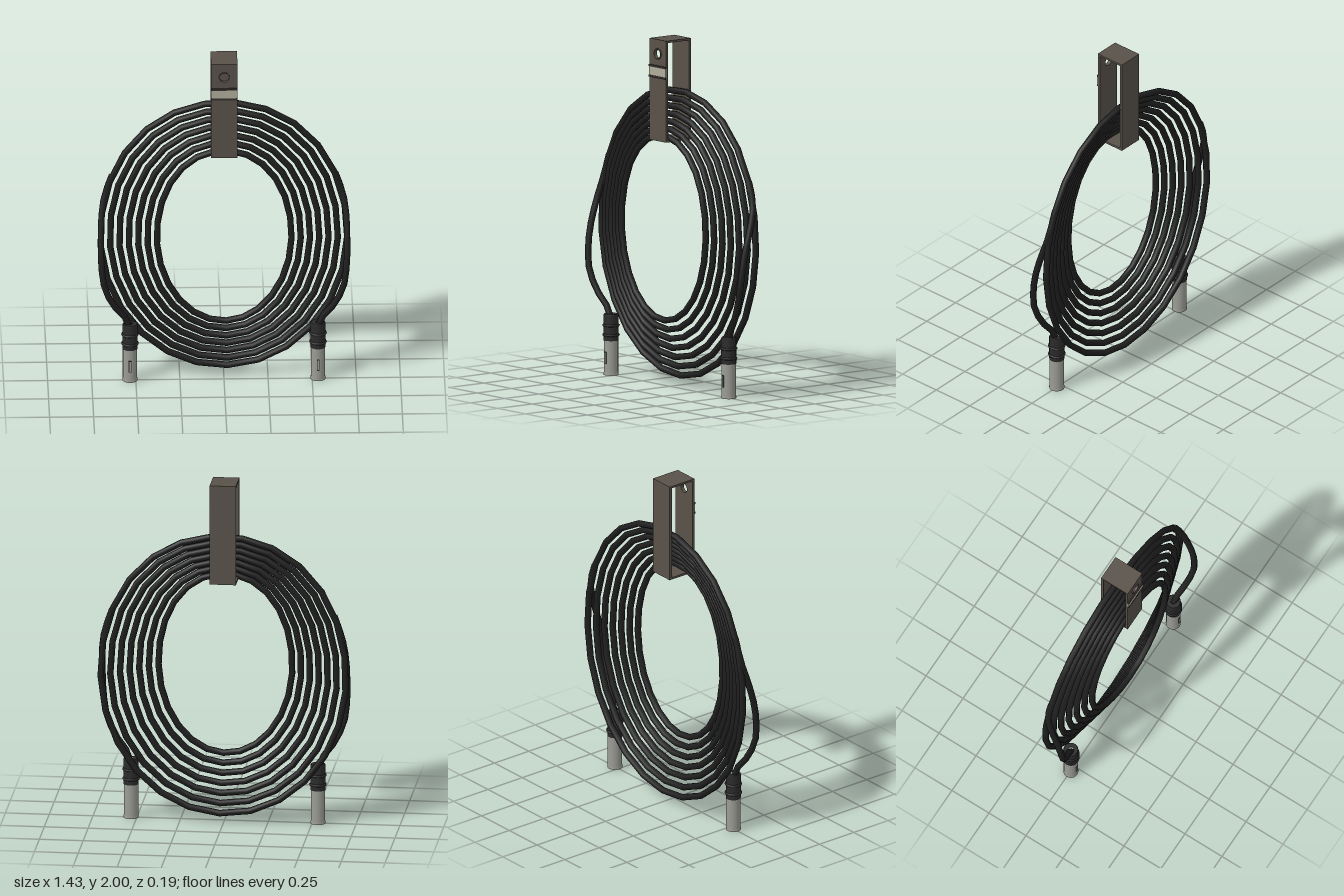
import * as THREE from 'three';

const mat = (color, side = THREE.FrontSide) => new THREE.MeshStandardMaterial({ color, side });
const rubber = mat(0x1f1f1f);
const bootMat = mat(0x2b2b2b);
const metal = mat(0x9c9c96);
const openMetal = mat(0x9c9c96, THREE.DoubleSide);
const strapMat = mat(0x59524a);
const darkStrap = mat(0x34302c);
const buckleMat = mat(0xb0ad9c);

const CABLE = 0.0185;
const LOOPS = 7;

function add(parent, name, geometry, material, x = 0, y = 0, z = 0) {
  const mesh = new THREE.Mesh(geometry, material);
  mesh.name = name;
  mesh.position.set(x, y, z);
  parent.add(mesh);
  return mesh;
}

// Upright ellipse sampled at equal angles from the bottom, slightly fuller at its shoulders
class LoopCurve extends THREE.Curve {
  constructor(a, b, cy, z) {
    super();
    Object.assign(this, { a, b, cy, z });
  }
  getUtoTmapping(u) { return u; }
  getPoint(t, target = new THREE.Vector3()) {
    const w = t * Math.PI * 2 + 0.03;
    const full = Math.cos(w) < 0 ? 1 + 0.015 * Math.sin(2 * w) ** 2 : 1;
    return target.set(this.a * full * Math.sin(w), this.cy - this.b * full * Math.cos(w), this.z);
  }
}

// Stacked loops, larger towards the back
function makeCoil() {
  const coil = new THREE.Group();
  coil.name = 'cableCoil';
  for (let i = 0; i < LOOPS; i++) {
    const k = i / (LOOPS - 1);
    const curve = new LoopCurve(
      THREE.MathUtils.lerp(0.7, 0.382, k),
      THREE.MathUtils.lerp(0.818, 0.53, k),
      THREE.MathUtils.lerp(0.876, 0.914, k),
      THREE.MathUtils.lerp(-0.064, 0.045, k));
    add(coil, 'cableLoop', new THREE.TubeGeometry(curve, 25, CABLE, 10, true), rubber);
  }
  return coil;
}

// Loose cable end peeling off the outer loop on one side
function makeTail(side) {
  const pts = [
    [0.632, 1.25, -0.066], [0.676, 1.12, -0.062], [0.694, 1, -0.03], [0.698, 0.86, 0.012],
    [0.695, 0.72, 0.036], [0.677, 0.59, 0.042], [0.622, 0.47, 0.026], [0.56, 0.39, 0.007],
    [0.533, 0.32, 0],
  ].map(([x, y, z]) => new THREE.Vector3(side * x, y, z));
  const geo = new THREE.TubeGeometry(new THREE.CatmullRomCurve3(pts), 12, CABLE, 10);
  const tail = new THREE.Mesh(geo, rubber);
  tail.name = 'cableEnd';
  return tail;
}

function lathe(points) {
  return new THREE.LatheGeometry(points.map(([r, y]) => new THREE.Vector2(r, y)), 20);
}

// Plug: metal barrel with recessed pins, ribbed rubber boot
function makePlug(side) {
  const plug = new THREE.Group();
  plug.name = side > 0 ? 'leftPlug' : 'rightPlug';
  plug.position.set(side * 0.533, 0, 0);

  const barrel = lathe([[0.036, 0.03], [0.036, 0], [0.036, 0], [0.043, 0], [0.043, 0],
    [0.043, 0.012], [0.041, 0.014], [0.041, 0.2], [0.041, 0.2], [0.03, 0.2]]);
  add(plug, 'barrel', barrel, openMetal);
  add(plug, 'socketFloor', new THREE.CylinderGeometry(0.037, 0.037, 0.01, 20), bootMat, 0, 0.02, 0);
  for (let i = 0; i < 3; i++) {
    const w = i * Math.PI * 2 / 3;
    add(plug, 'pin', new THREE.CylinderGeometry(0.005, 0.005, 0.014, 8), metal,
      0.017 * Math.sin(w), 0.01, 0.017 * Math.cos(w));
  }
  add(plug, 'latch', new THREE.BoxGeometry(0.016, 0.07, 0.008), bootMat, 0, 0.1, 0.039);
  add(plug, 'latchKey', new THREE.BoxGeometry(0.01, 0.062, 0.008), metal, 0, 0.1, 0.0405);

  const boot = lathe([[0.02, 0.198], [0.043, 0.198], [0.043, 0.198], [0.043, 0.345],
    [0.04, 0.35], [0.04, 0.35], [0.015, 0.35]]);
  add(plug, 'boot', boot, bootMat);
  for (const y of [0.23, 0.285]) {
    const rib = add(plug, 'bootRib', new THREE.TorusGeometry(0.043, 0.007, 8, 20), bootMat, 0, y, 0);
    rib.rotation.x = Math.PI / 2;
  }
  return plug;
}

// Hanging strap: closed rectangular band with eyelet and buckle on the front
function makeStrap() {
  const strap = new THREE.Group();
  strap.name = 'hangingStrap';
  strap.position.z = -0.003;
  const w = 0.15, t = 0.015, depth = 0.18, bottom = 1.417, top = 2, h = top - bottom;
  const front = depth / 2;

  // Front panel with the eyelet hole
  const panel = new THREE.Shape();
  panel.moveTo(-w / 2, bottom);
  panel.lineTo(w / 2, bottom);
  panel.lineTo(w / 2, top);
  panel.lineTo(-w / 2, top);
  panel.closePath();
  const hole = new THREE.Path().absarc(0, 1.918, 0.027, 0, Math.PI * 2, true);
  panel.holes.push(hole);
  add(strap, 'frontPanel', new THREE.ExtrudeGeometry(panel,
    { depth: t, bevelEnabled: false, curveSegments: 24 }), strapMat, 0, 0, front - t);

  add(strap, 'backPanel', new THREE.BoxGeometry(w, h, t), strapMat, 0, bottom + h / 2, t / 2 - front);
  for (const y of [bottom + 0.006, top - 0.006]) {
    add(strap, 'endPanel', new THREE.BoxGeometry(w, 0.012, depth - 2 * t), strapMat, 0, y, 0);
  }

  // Eyelet ring and buckle
  const ring = new THREE.Shape().absarc(0, 0, 0.032, 0, Math.PI * 2, false);
  ring.holes.push(new THREE.Path().absarc(0, 0, 0.027, 0, Math.PI * 2, true));
  add(strap, 'eyelet', new THREE.ExtrudeGeometry(ring,
    { depth: 0.006, bevelEnabled: false, curveSegments: 24 }), strapMat, 0, 1.918, front);
  add(strap, 'buckle', new THREE.BoxGeometry(w, 0.05, 0.008), buckleMat, 0, 1.815, front + 0.002);
  for (const y of [1.785, 1.845]) {
    add(strap, 'buckleBar', new THREE.BoxGeometry(w, 0.012, 0.011), darkStrap, 0, y, front + 0.002);
  }
  return strap;
}

export function createModel() {
  const model = new THREE.Group();
  model.name = 'coiledCable';
  model.add(makeCoil(), makeStrap());
  for (const side of [-1, 1]) model.add(makeTail(side), makePlug(side));
  return model;
}
